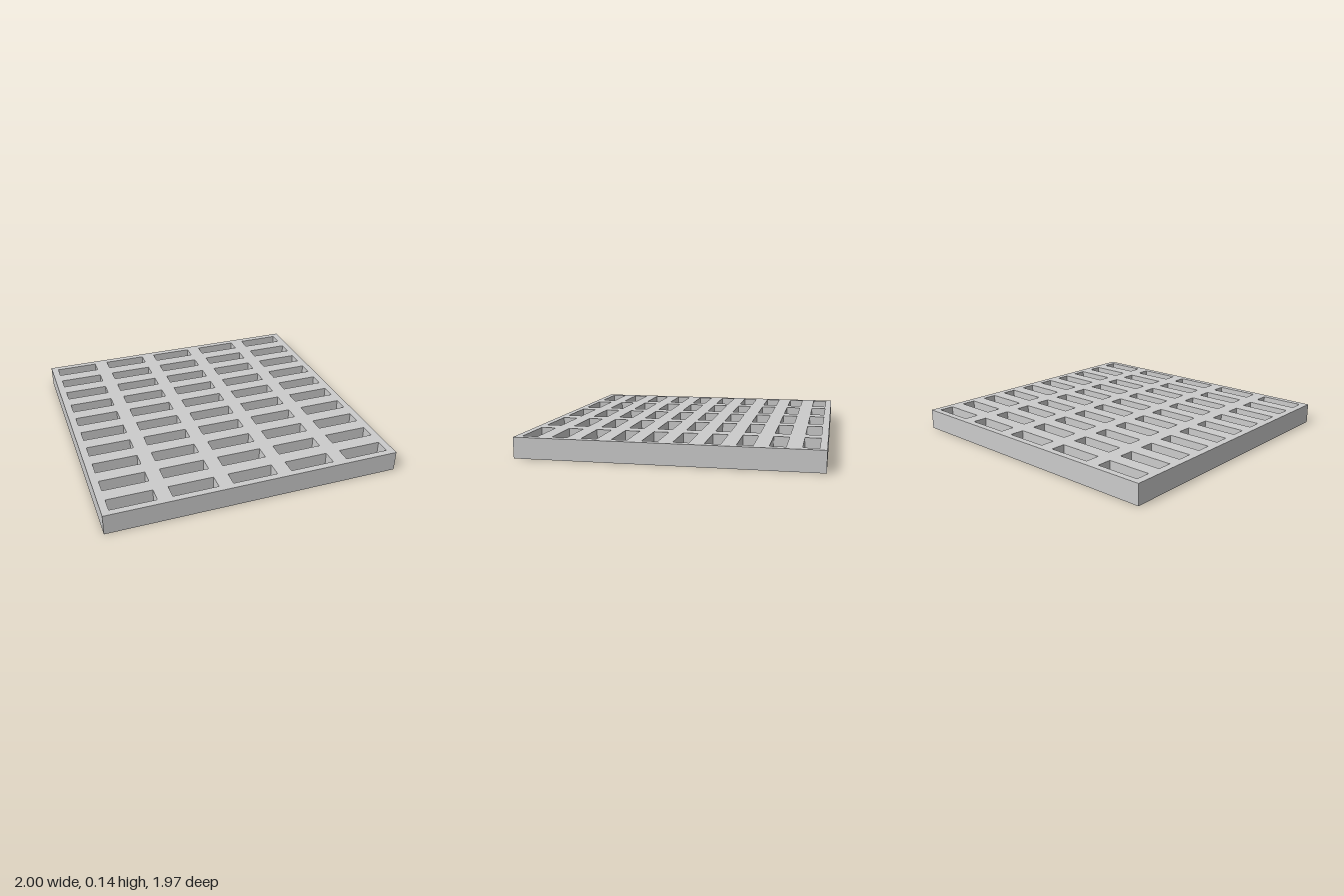
import * as THREE from 'three';

const HALF_X = 1, HALF_Z = 0.984, HEIGHT = 0.139;
const COLUMNS = 5, ROWS = 10;
const PITCH_X = 0.4, PITCH_Z = 0.1975;
const SLOT_X = 0.302, SLOT_Z = 0.101;

// Traces a rectangle centred on (x, y)
function rectangle(path, x, y, w, h) {
  path.moveTo(x - w / 2, y - h / 2);
  path.lineTo(x + w / 2, y - h / 2);
  path.lineTo(x + w / 2, y + h / 2);
  path.lineTo(x - w / 2, y + h / 2);
  path.closePath();
  return path;
}

export function createModel() {
  const group = new THREE.Group();
  group.name = 'grating';

  // Slab outline
  const outline = rectangle(new THREE.Shape(), 0, 0, 2 * HALF_X, 2 * HALF_Z);

  // Regular grid of through slots
  for (let row = 0; row < ROWS; row++) {
    for (let column = 0; column < COLUMNS; column++) {
      const x = (column - (COLUMNS - 1) / 2) * PITCH_X;
      const z = (row - (ROWS - 1) / 2) * PITCH_Z;
      outline.holes.push(rectangle(new THREE.Path(), x, z, SLOT_X, SLOT_Z));
    }
  }

  // Extrude the slab and lay it flat on the ground
  const geometry = new THREE.ExtrudeGeometry(outline, { depth: HEIGHT, bevelEnabled: false });
  geometry.rotateX(-Math.PI / 2);

  const slab = new THREE.Mesh(geometry, new THREE.MeshStandardMaterial({ color: 0xcccccc }));
  slab.name = 'slottedSlab';
  group.add(slab);
  return group;
}
